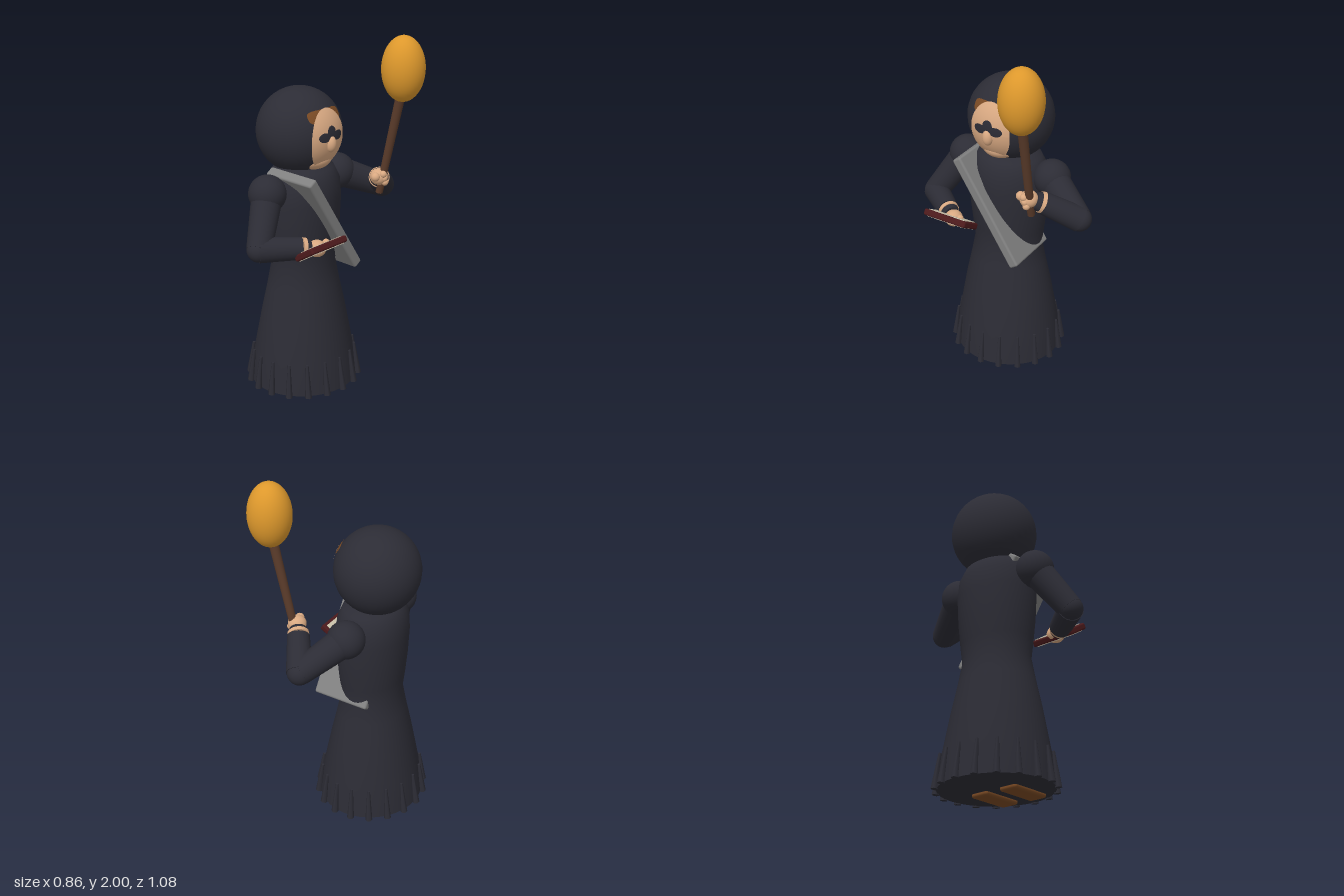
import * as THREE from 'three';
import { RoundedBoxGeometry } from 'three/addons/geometries/RoundedBoxGeometry.js';

const CX = -0.11, CZ = 0.045;                       // body axis
const HEAD = new THREE.Vector3(-0.134, 1.477, CZ);
const HEAD_R = new THREE.Vector3(0.233, 0.238, 0.238);

function paint(name, color) {
  const m = new THREE.MeshStandardMaterial({ color });
  m.name = name;
  return m;
}

export function createModel() {
  const root = new THREE.Group();
  root.name = 'robedFigure';
  const cloth = paint('darkCloth', 0x2c2c35);
  const skin = paint('skin', 0xd9a982);
  const brown = paint('brownLeather', 0x7a4a24);
  const wood = paint('wood', 0x5a3b2a);
  const gold = paint('goldenFlame', 0xdd982c);
  const grey = paint('greyStrap', 0x808080);
  const maroon = paint('maroonCover', 0x4c1a1c);
  const cream = paint('creamPage', 0xd0c7b0);

  const add = (name, geometry, material, parent = root) => {
    const mesh = new THREE.Mesh(geometry, material);
    mesh.name = name;
    parent.add(mesh);
    return mesh;
  };
  const ball = (name, mat, [x, y, z], rx, ry = rx, rz = rx) => {
    const mesh = add(name, new THREE.SphereGeometry(1, 36, 24), mat);
    mesh.position.set(x, y, z);
    mesh.scale.set(rx, ry, rz);
    return mesh;
  };
  // Tapered cylinder from point a to point b
  const limb = (name, mat, a, b, ra, rb, sides = 20) => {
    const p = new THREE.Vector3(...a), q = new THREE.Vector3(...b);
    const dir = q.clone().sub(p);
    const mesh = add(name, new THREE.CylinderGeometry(rb, ra, dir.length(), sides), mat);
    mesh.position.copy(p).add(q).multiplyScalar(0.5);
    mesh.quaternion.setFromUnitVectors(new THREE.Vector3(0, 1, 0), dir.normalize());
    return mesh;
  };

  // Robe: lathe, narrower front to back towards the waist
  const profile = [[0, 0.02], [0.31, 0.02], [0.31, 0.02], [0.295, 0.2], [0.253, 0.45], [0.222, 0.6],
    [0.2, 0.72], [0.213, 0.82], [0.227, 0.95], [0.235, 1.1], [0.226, 1.2], [0.19, 1.27], [0.12, 1.31], [0, 1.31]];
  const robe = new THREE.LatheGeometry(profile.map(([r, y]) => new THREE.Vector2(r, y)), 36);
  const rp = robe.attributes.position;
  const depth = y => 0.96 - 0.16 * Math.min(1, y / 0.7);
  for (let i = 0; i < rp.count; i++) rp.setX(i, rp.getX(i) * depth(rp.getY(i)));
  add('robe', robe, cloth).position.set(CX, 0, CZ);

  // Fringe of tapered folds around the hem
  for (let i = 0; i < 18; i++) {
    const a = i * Math.PI / 9, c = Math.cos(a), s = Math.sin(a);
    limb('hemFold', cloth, [CX + 0.306 * c, 0.015, CZ + 0.322 * s],
      [CX + 0.278 * c, 0.205, CZ + 0.302 * s], 0.02, 0.008, 6);
  }

  // Shoes under the hem
  for (const side of [-1, 1]) {
    add('shoe', new RoundedBoxGeometry(0.25, 0.04, 0.11, 3, 0.015), brown)
      .position.set(-0.013, 0.02, CZ + side * 0.095);
  }

  // Hood with face patches that follow its curve
  ball('hood', cloth, HEAD.toArray(), HEAD_R.x, HEAD_R.y, HEAD_R.z);
  const patch = (name, mat, z, y, rz, ry, lift, power = 1) => {
    const g = new THREE.RingGeometry(0.001, 1, 48, 10);
    const p = g.attributes.position;
    const bend = v => Math.sign(v) * Math.abs(v) ** power;
    for (let i = 0; i < p.count; i++) {
      const pz = z - bend(p.getX(i)) * rz, py = y + bend(p.getY(i)) * ry;
      const u = (py - HEAD.y) / HEAD_R.y, v = (pz - HEAD.z) / HEAD_R.z;
      p.setXYZ(i, HEAD.x + HEAD_R.x * Math.sqrt(Math.max(0, 1 - u * u - v * v)) + lift, py, pz);
    }
    g.computeVertexNormals();
    return add(name, g, mat);
  };
  patch('hair', brown, CZ, 1.59, 0.115, 0.036, 0.004, 0.6);
  patch('face', skin, CZ, 1.465, 0.12, 0.165, 0.007);
  for (const side of [-1, 1]) patch('eye', cloth, CZ + side * 0.048, 1.485, 0.037, 0.026, 0.01);
  patch('brow', cloth, CZ, 1.508, 0.03, 0.034, 0.01);
  ball('jaw', skin, [-0.033, 1.342, CZ], 0.1, 0.063, 0.106);
  ball('nose', skin, [0.098, 1.443, CZ], 0.03, 0.046, 0.03);

  // Arms: shoulder, upper sleeve, forearm sleeve, cuff, hand
  const arm = (side, shoulder, elbow, wrist, hand) => {
    ball(side + 'Shoulder', cloth, shoulder, 0.103);
    limb(side + 'UpperSleeve', cloth, shoulder, elbow, 0.085, 0.068);
    ball(side + 'Elbow', cloth, elbow, 0.066);
    limb(side + 'ForearmSleeve', cloth, elbow, wrist, 0.07, 0.06);
    const at = t => wrist.map((w, i) => w + (hand[i] - w) * t);
    limb(side + 'Cuff', skin, wrist, at(0.25), 0.059, 0.057);
    limb(side + 'Glove', cloth, at(0.25), at(0.55), 0.053, 0.045);
    ball(side + 'Hand', skin, hand, 0.05, 0.046, 0.05);
  };
  arm('right', [CX, 1.183, 0.315], [-0.015, 0.935, 0.475], [0.125, 0.93, 0.295], [0.168, 0.922, 0.228]);
  arm('left', [CX, 1.183, -0.23], [0.02, 1.07, -0.475], [0.13, 1.175, -0.318], [0.178, 1.205, -0.258]);
  ball('rightThumb', skin, [0.185, 0.945, 0.175], 0.02);
  ball('leftThumb', skin, [0.19, 1.215, -0.215], 0.025);
  for (let i = 0; i < 3; i++) ball('leftFinger', skin, [0.215, 1.18 + i * 0.024, -0.265 + i * 0.008], 0.02);

  // Torch
  limb('torchHandle', wood, [0.172, 1.11, -0.27], [0.298, 1.69, -0.285], 0.02, 0.026);
  ball('torchFlame', gold, [0.307, 1.823, -0.287], 0.117, 0.177, 0.117);

  // Tilted book with a page on each side
  const book = new THREE.Group();
  book.name = 'book';
  book.position.set(0.198, 0.93, 0.228);
  book.rotation.z = 0.56;
  root.add(book);
  add('bookCover', new RoundedBoxGeometry(0.15, 0.036, 0.27, 3, 0.01), maroon, book);
  for (const side of [-1, 1]) {
    add('bookPage', new THREE.BoxGeometry(0.125, 0.006, 0.23), cream, book)
      .position.set(-0.006, side * 0.018, 0);
  }

  // Broad diagonal strap through the chest
  const strap = add('chestStrap', new RoundedBoxGeometry(0.33, 0.68, 0.058, 3, 0.012), grey);
  strap.position.set(-0.025, 0.992, 0.042);
  strap.rotation.x = 0.575;

  return root;
}
